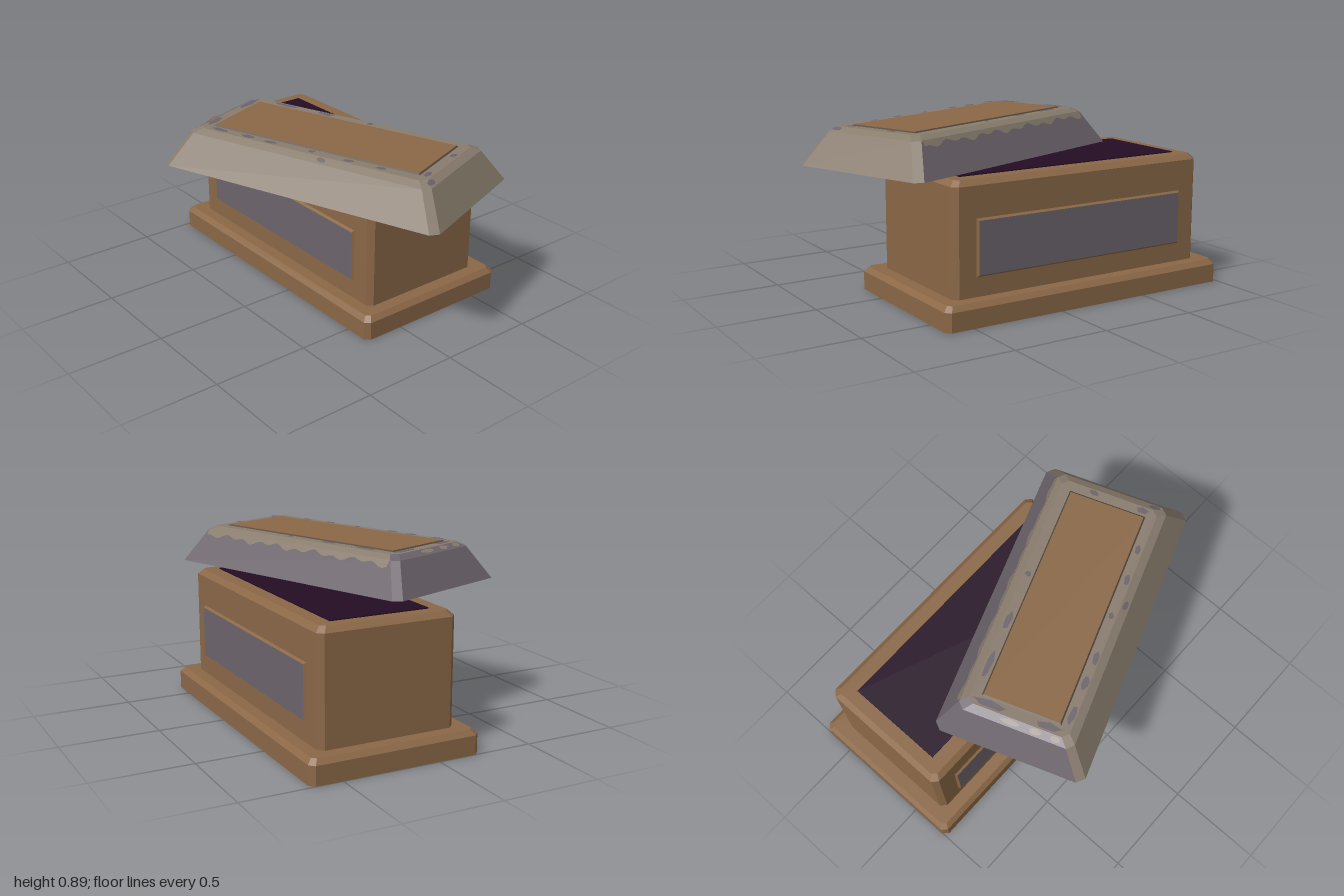
import * as THREE from 'three';

const mat = (name, color) => {
  const m = new THREE.MeshStandardMaterial({ color });
  m.name = name;
  return m;
};

// Outline of a rectangle with cut corners, anticlockwise from above.
// Edges: 0 right, 2 back, 4 left, 6 front; odd edges are the corners.
function ring([X, Z, c, y]) {
  const x = X - c, z = Z - c;
  return [[X, z], [X, -z], [x, -Z], [-x, -Z], [-X, -z], [-X, z], [-x, Z], [x, Z]]
    .map(([px, pz]) => [px, y, pz]);
}

// Stacks cut-corner outlines into a flat-faced solid; pick(level, edge) gives
// a material index for a side face, caps = [bottom, top] material indices.
function tiers(name, levels, mats, pick = () => 0, caps = [0, 0]) {
  const byMat = mats.map(() => []);
  const rings = levels.map(ring);
  for (let l = 0; l < rings.length - 1; l++) {
    for (let i = 0; i < 8; i++) {
      if (i % 2 && levels[l][2] === 0) continue;
      const j = (i + 1) % 8, lo = rings[l], hi = rings[l + 1];
      byMat[pick(l, i)].push(lo[i], lo[j], hi[j], lo[i], hi[j], hi[i]);
    }
  }
  const bottom = rings[0], top = rings[rings.length - 1];
  for (let i = 1; i < 7; i++) {
    byMat[caps[0]].push(bottom[0], bottom[i + 1], bottom[i]);
    byMat[caps[1]].push(top[0], top[i], top[i + 1]);
  }
  const geo = new THREE.BufferGeometry();
  geo.setAttribute('position', new THREE.Float32BufferAttribute(byMat.flat(2), 3));
  let start = 0;
  byMat.forEach((pts, i) => {
    geo.addGroup(start, pts.length, i);
    start += pts.length;
  });
  geo.computeVertexNormals();
  const mesh = new THREE.Mesh(geo, mats);
  mesh.name = name;
  return mesh;
}

// Lid section: [half length, half width, corner cut, height]
const LID = [[0.776, 0.392, 0.036, 0.695], [0.68, 0.296, 0.033, 0.86], [0.64, 0.256, 0.03, 0.882]];

// Height of the lid surface, used to lay painted patches on it
function lidHeight(u, v) {
  const d = Math.min(LID[0][0] - Math.abs(u), LID[0][1] - Math.abs(v));
  if (d < 0.096) return 0.695 + (d / 0.096) * 0.165;
  return Math.min(0.882, 0.86 + ((d - 0.096) / 0.04) * 0.022);
}

// Irregular patch following the lid surface
function patch(u, v, ru, rv, material) {
  const geo = new THREE.CircleGeometry(1, 10).rotateX(-Math.PI / 2);
  const p = geo.attributes.position;
  for (let i = 0; i < p.count; i++) {
    const k = 1 + 0.2 * Math.sin(p.getX(i) * 5 + u * 31) * Math.cos(p.getZ(i) * 4 + v * 17);
    const x = u + p.getX(i) * ru * k, z = v + p.getZ(i) * rv * k;
    p.setXYZ(i, x, lidHeight(x, z) + 0.003, z);
  }
  geo.computeVertexNormals();
  const mesh = new THREE.Mesh(geo, material);
  mesh.name = 'lidPatch';
  return mesh;
}

// Wavy worn band along the upper part of the back slope
function wornBand(material) {
  const n = 48, pos = [], idx = [];
  for (let i = 0; i <= n; i++) {
    const u = -0.64 + (1.28 * i) / n;
    const w = 0.014 + 0.005 * Math.sin(i * 1.3) + 0.004 * Math.sin(i * 0.55 + 1);
    for (const v of [-0.296, -0.296 - w]) pos.push(u, lidHeight(u, v) + 0.004, v);
    if (i < n) {
      const a = i * 2;
      idx.push(a, a + 2, a + 1, a + 1, a + 2, a + 3);
    }
  }
  const geo = new THREE.BufferGeometry();
  geo.setAttribute('position', new THREE.Float32BufferAttribute(pos, 3));
  geo.setIndex(idx);
  geo.computeVertexNormals();
  const mesh = new THREE.Mesh(geo, material);
  mesh.name = 'lidWornBand';
  return mesh;
}

export function createModel() {
  const brown = mat('brownStone', 0x8b6847);
  const grey = mat('greyPanel', 0x6c646c);
  const taupe = mat('lidStone', 0x887c6d);
  const rim = mat('inlayRim', 0x54483c);
  const dark = mat('darkInterior', 0x240d24);
  const model = new THREE.Group();
  model.name = 'stoneCoffin';

  // Plinth, chest and dark opening
  const base = new THREE.Group();
  base.name = 'base';
  base.position.set(-0.177, 0, -0.22);
  base.add(tiers('plinth', [[0.823, 0.44, 0.025, 0], [0.823, 0.44, 0.025, 0.095], [0.8, 0.417, 0.02, 0.12]], [brown]));
  base.add(tiers('chest', [[0.735, 0.354, 0.028, 0.12], [0.735, 0.354, 0.028, 0.653], [0.708, 0.327, 0.022, 0.68]], [brown]));
  base.add(tiers('opening', [[0.645, 0.255, 0, 0.678], [0.645, 0.255, 0, 0.685]], [dark]));

  // Framed panels on front and back
  for (const side of [1, -1]) {
    const panel = tiers('sidePanel', [[0.615, 0.142, 0, 0], [0.604, 0.131, 0, 0.014]], [brown, grey], () => 0, [0, 1]);
    panel.rotation.x = (side * Math.PI) / 2;
    panel.position.set(0, 0.357, side * 0.352);
    base.add(panel);
  }
  model.add(base);

  // Lid, pushed askew
  const lid = new THREE.Group();
  lid.name = 'lid';
  lid.position.set(0.15, 0, 0.04);
  lid.rotation.y = THREE.MathUtils.degToRad(20);
  lid.add(tiers('lidSlab', LID, [taupe, grey],
    (l, e) => (l === 0 ? (e >= 2 && e <= 4 ? 1 : 0) : (e === 3 || e === 4 ? 1 : 0)), [1, 0]));
  lid.add(tiers('lidInlay', [[0.59, 0.206, 0, 0.88], [0.58, 0.196, 0, 0.888]], [rim, brown], () => 0, [0, 1]));
  lid.add(wornBand(taupe));

  // Blotches: [along, across, half length, half width]
  const greyBlots = [
    [-0.35, 0.235, 0.04, 0.017], [-0.215, 0.238, 0.035, 0.015], [0.02, 0.23, 0.018, 0.014],
    [0.227, 0.236, 0.03, 0.014], [0.4, 0.23, 0.025, 0.014], [-0.52, 0.235, 0.05, 0.016],
    [0.62, -0.084, 0.014, 0.025], [0.615, 0.178, 0.017, 0.03], [0.66, 0.23, 0.014, 0.03],
    [0.08, -0.23, 0.016, 0.016], [-0.187, -0.23, 0.05, 0.016], [-0.43, -0.23, 0.07, 0.015],
    [-0.615, -0.15, 0.018, 0.08], [-0.615, 0.15, 0.018, 0.06], [0.1, 0.276, 0.025, 0.012],
  ];
  const taupeBlots = [[-0.66, -0.03, 0.013, 0.05], [-0.66, 0.1, 0.013, 0.03], [-0.66, 0.2, 0.012, 0.025]];
  greyBlots.forEach((b) => lid.add(patch(...b, grey)));
  taupeBlots.forEach((b) => lid.add(patch(...b, taupe)));
  model.add(lid);
  return model;
}
